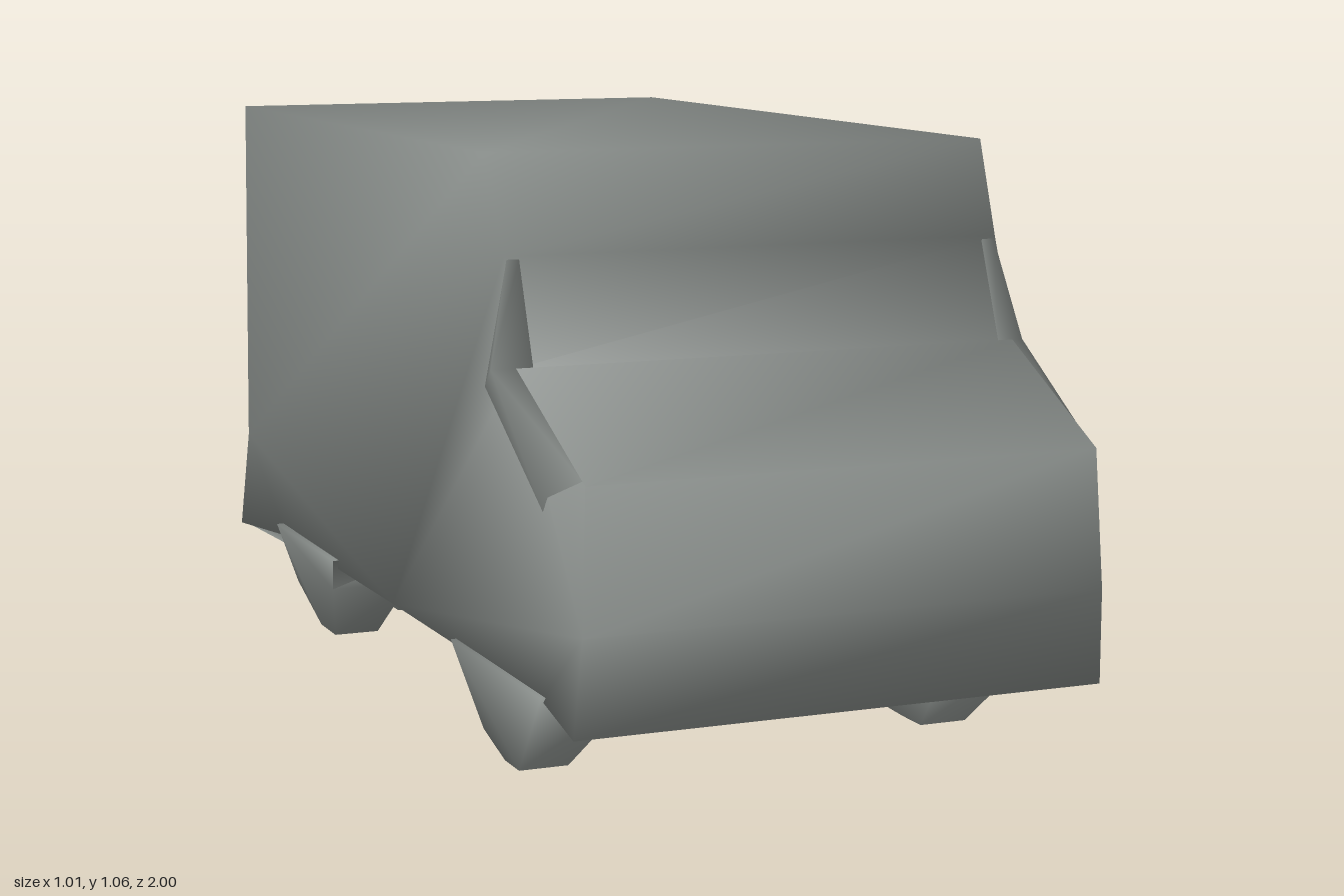
import * as THREE from 'three';

const paint = new THREE.MeshStandardMaterial({ color: 0x868b88, side: THREE.DoubleSide });
paint.name = 'grey paint';

// Closed solid from a side outline; each row is [z, y, xMin, xMax],
// listed from the front over the top to the back and along the bottom.
function slab(name, outline) {
  const rows = [...outline].reverse();
  const n = rows.length;
  const positions = rows.flatMap(([z, y, x0, x1]) => [x0, y, z, x1, y, z]);
  const index = [];
  for (let i = 0; i < n; i++) {
    const j = (i + 1) % n;
    const l = 2 * i, r = l + 1, l2 = 2 * j, r2 = l2 + 1;
    index.push(r, l, l2, r, l2, r2);
  }
  const flat = rows.map(([z, y]) => new THREE.Vector2(-z, y));
  for (const [a, b, c] of THREE.ShapeUtils.triangulateShape(flat, [])) {
    index.push(2 * a + 1, 2 * b + 1, 2 * c + 1);
    index.push(2 * a, 2 * c, 2 * b);
  }
  const geometry = new THREE.BufferGeometry();
  geometry.setAttribute('position', new THREE.Float32BufferAttribute(positions, 3));
  geometry.setIndex(index);
  geometry.computeVertexNormals();
  const mesh = new THREE.Mesh(geometry, paint);
  mesh.name = name;
  return mesh;
}

export function createModel() {
  const van = new THREE.Group();
  van.name = 'van';

  // Shell: nose, bonnet, windscreen, roof, tail and floor
  van.add(slab('body', [
    [1, 0.155, -0.485, 0.485],
    [1, 0.32, -0.47, 0.485],
    [0.97, 0.56, -0.452, 0.485],
    [0.68, 0.71, -0.46, 0.485],
    [0.61, 0.89, -0.455, 0.485],
    [0.55, 1.06, -0.468, 0.485],
    [-0.965, 1.06, -0.468, 0.485],
    [-0.99, 0.34, -0.468, 0.485],
    [-1, 0.14, -0.485, 0.485],
    [-0.75, 0.155, -0.456, 0.485],
    [0, 0.165, -0.46, 0.485],
    [0.8, 0.17, -0.462, 0.485],
  ]));

  // Local swell on each side at the foot of the windscreen
  const swell = [[0.96, 0.565], [0.68, 0.71], [0.615, 0.885], [0.5, 0.65], [0.86, 0.42]];
  for (const [name, base, peak] of [['left', 0.48, 0.505], ['right', -0.452, -0.505]]) {
    van.add(slab(`${name}PillarSwell`, swell.map(([z, y], i) => {
      const outer = i === 1 ? peak : base;
      const inner = base * 0.95;
      return [z, y, Math.min(inner, outer), Math.max(inner, outer)];
    })));
  }

  // Wheels, tapering towards the ground, one pair per axle
  const wheels = {
    front: [[0.82, 0.18], [0.37, 0.18], [0.46, 0.035], [0.55, 0], [0.62, 0]],
    rear: [[-0.35, 0.18], [-0.76, 0.18], [-0.68, 0.07], [-0.56, 0], [-0.46, 0], [-0.4, 0.11]],
  };
  for (const [end, points] of Object.entries(wheels)) {
    for (const side of [-1, 1]) {
      van.add(slab(`${end}${side > 0 ? 'Left' : 'Right'}Wheel`, points.map(([z, y]) => {
        const inner = y < 0.02 ? 0.345 : 0.295;
        const outer = 0.436 + 0.2 * y;
        return side > 0 ? [z, y, inner, outer] : [z, y, -outer, -inner];
      })));
    }
  }

  // Sloping underbody between the wheels, widening towards the tail
  const spread = ([z, y, halfWidth = 0.3]) => [z, y, -halfWidth, halfWidth];
  van.add(slab('frontUnderbody',
    [[0.82, 0.18], [0.38, 0.18], [0.46, 0.045], [0.6, 0.04]].map(spread)));
  van.add(slab('rearUnderbody', [
    [-0.36, 0.18], [-0.97, 0.18, 0.45], [-0.995, 0.14, 0.475],
    [-0.68, 0.07, 0.34], [-0.56, 0.04], [-0.46, 0.04],
  ].map(spread)));

  return van;
}
